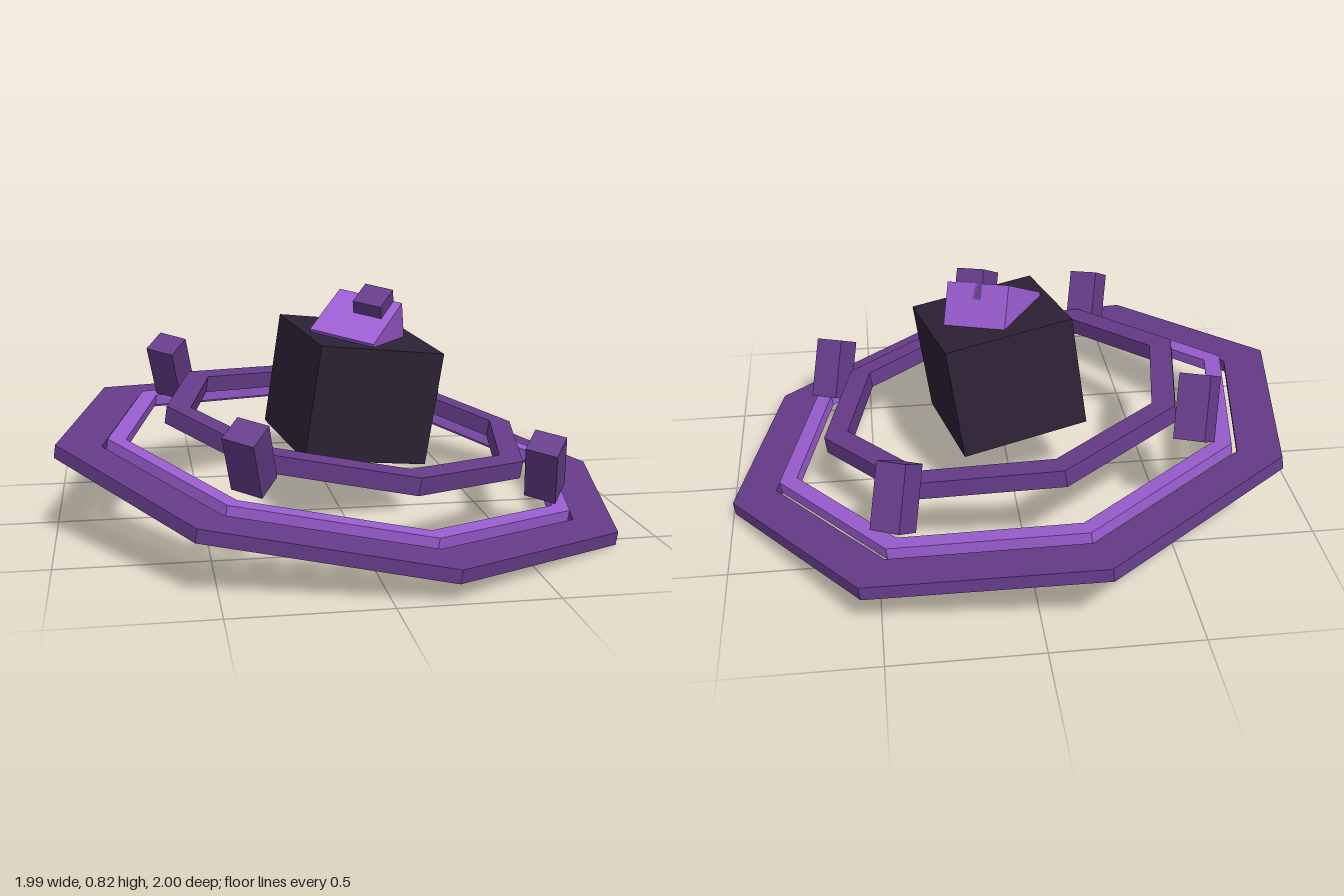
import * as THREE from 'three';

const material = (name, color) => {
  const m = new THREE.MeshStandardMaterial({ color });
  m.name = name;
  return m;
};

export function createModel() {
  const purple = material('deep purple', 0x663c8a);
  const lilac = material('bright lilac', 0x9a5cd0);
  const dark = material('dark plum', 0x2c2135);

  const model = new THREE.Group();
  model.name = 'ringedCore';

  // Everything sits in one tilted, slightly turned frame
  const body = new THREE.Group();
  body.name = 'tiltedBody';
  body.position.y = 0.185;
  const up = new THREE.Vector3(0, 1, 0);
  body.quaternion
    .setFromUnitVectors(up, new THREE.Vector3(0.142, 1, 0.0715).normalize())
    .multiply(new THREE.Quaternion().setFromAxisAngle(up, 0.198));
  model.add(body);

  const octagon = (Type, r) => {
    const pts = [];
    for (let i = 0; i < 8; i++) {
      const a = (i * Math.PI) / 4;
      pts.push(new THREE.Vector2(r * Math.cos(a), r * Math.sin(a)));
    }
    return new Type(pts);
  };

  // Flat eight-sided rings
  const addRing = (name, outer, inner, thick, y, mat) => {
    const shape = octagon(THREE.Shape, outer);
    shape.holes.push(octagon(THREE.Path, inner));
    const geo = new THREE.ExtrudeGeometry(shape, { depth: thick, bevelEnabled: false });
    geo.translate(0, 0, -thick / 2);
    geo.rotateX(-Math.PI / 2);
    const ring = new THREE.Mesh(geo, mat);
    ring.name = name;
    ring.position.y = y;
    body.add(ring);
  };
  addRing('outerRing', 1.02, 0.865, 0.045, 0, purple);
  addRing('middleRing', 0.848, 0.785, 0.04, 0.03, lilac);
  addRing('innerRing', 0.66, 0.575, 0.06, 0.143, purple);

  // Blocks, either square to the body or turned 45 and pitched 30 degrees
  const addBlock = (name, size, pos, mat, leaning) => {
    const block = new THREE.Mesh(new THREE.BoxGeometry(...size), mat);
    block.name = name;
    block.position.set(...pos);
    if (leaning) block.rotation.set(Math.PI / 6, -Math.PI / 4, 0, 'YXZ');
    body.add(block);
  };
  addBlock('core', [0.45, 0.4, 0.45], [0, 0.27, 0], dark, false);
  addBlock('crystal', [0.24, 0.24, 0.24], [0, 0.437, 0], lilac, true);
  addBlock('crystalTip', [0.105, 0.105, 0.105], [0.025, 0.572, 0.025], purple, true);

  // Four parallel leaning posts
  for (let i = 0; i < 4; i++) {
    const a = Math.PI / 4 + (i * Math.PI) / 2;
    addBlock('post' + (i + 1), [0.11, 0.22, 0.1],
      [0.738 * Math.cos(a), 0.175, 0.738 * Math.sin(a)], purple, true);
  }
  return model;
}
